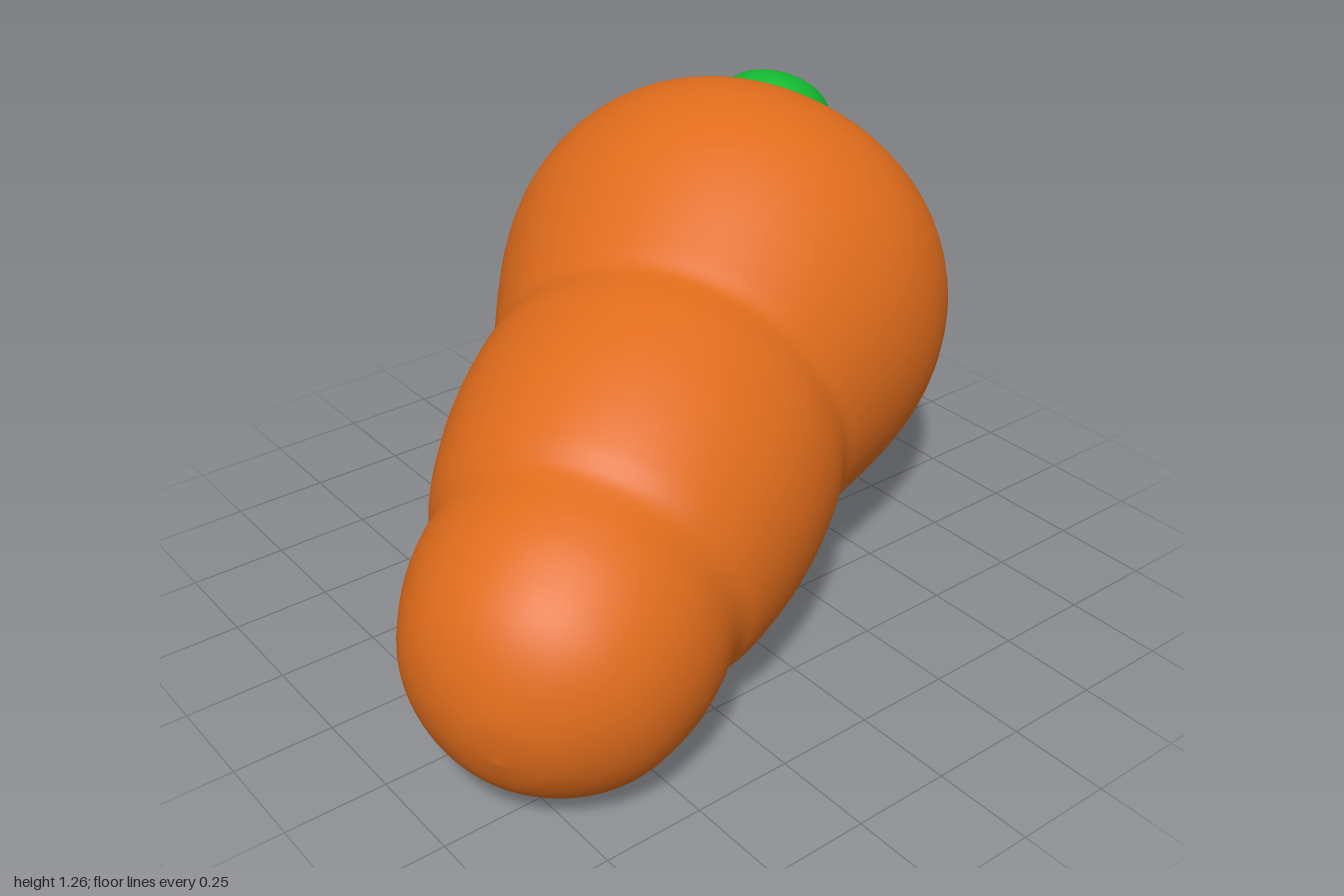
import * as THREE from 'three';

const V = (x, y, z) => new THREE.Vector3(x, y, z);
const UP = V(0, 1, 0);

// Smooth solid of revolution through a few [radius, height] points
function turned(points, samples, sides, material) {
  const curve = new THREE.SplineCurve(points.map(([r, h]) => new THREE.Vector2(r, h)));
  const profile = curve.getPoints(samples);
  profile.forEach(p => { p.x = Math.max(0, p.x); });
  return new THREE.Mesh(new THREE.LatheGeometry(profile, sides), material);
}

// Place a mesh at a point with its own y axis along a direction
function aim(mesh, origin, direction) {
  mesh.position.copy(origin);
  mesh.quaternion.setFromUnitVectors(UP, direction.clone().normalize());
  return mesh;
}

export function createModel() {
  const group = new THREE.Group();
  const orange = new THREE.MeshStandardMaterial({ color: 0xe06c1c });
  const green = new THREE.MeshStandardMaterial({ color: 0x12b830 });

  // Root: three swelling segments from the blunt tip to the hollowed crown
  const root = turned([
    [0, -1.075], [0.11, -1.056], [0.22, -0.995], [0.30, -0.91], [0.35, -0.79],
    [0.368, -0.69], [0.37, -0.61], [0.378, -0.568], [0.405, -0.52],
    [0.438, -0.41], [0.463, -0.27], [0.47, -0.12], [0.462, -0.035],
    [0.464, 0], [0.487, 0.06], [0.54, 0.21], [0.575, 0.34], [0.588, 0.46],
    [0.576, 0.58], [0.537, 0.68], [0.48, 0.73], [0.42, 0.732],
    [0.36, 0.70], [0.25, 0.64], [0.12, 0.612], [0, 0.605],
  ], 120, 64, orange);
  root.name = 'root';
  group.add(aim(root, V(0.06, 0.535, 0.05), V(-0.514, 0.266, -0.816)));

  // Leaf stubs: three blunt stalks spreading from the crown
  const crown = V(-0.25, 0.71, -0.42);
  const tips = {
    upperLeaf: V(-0.42, 1.10, -0.73),
    sideLeaf: V(-0.755, 0.74, -0.67),
    backLeaf: V(-0.345, 0.72, -1.0),
  };
  for (const [name, tip] of Object.entries(tips)) {
    const axis = tip.clone().sub(crown);
    const l = axis.length();
    const leaf = turned([
      [0, -0.03], [0.09, -0.02], [0.125, 0.08], [0.155, l * 0.45], [0.173, l - 0.19],
      [0.168, l - 0.11], [0.14, l - 0.045], [0.085, l - 0.01], [0, l],
    ], 40, 40, green);
    leaf.name = name;
    group.add(aim(leaf, crown, axis));
  }
  return group;
}
